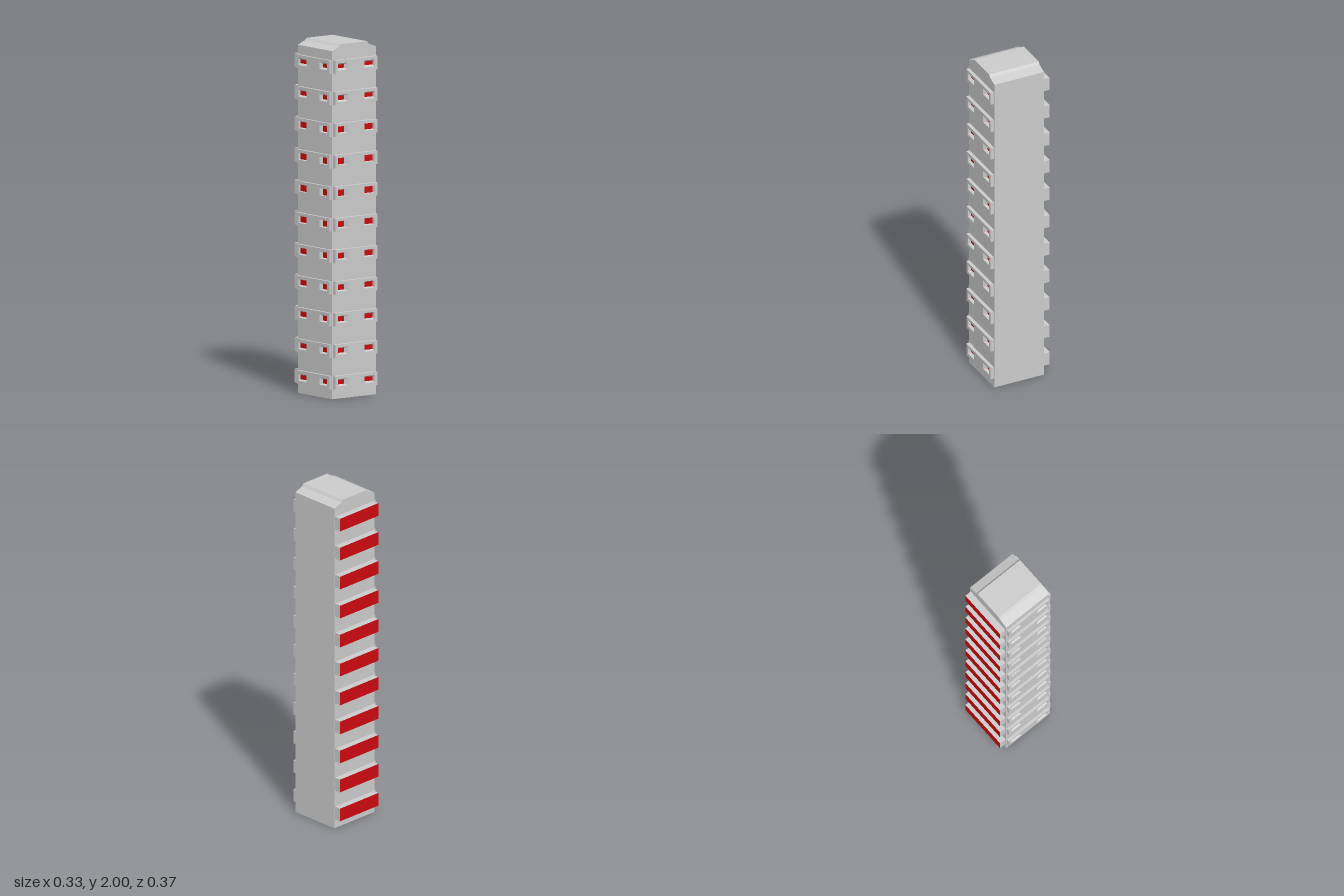
import * as THREE from 'three';

const grey = new THREE.MeshStandardMaterial({ color: 0xcccccc, flatShading: true });
const red = new THREE.MeshStandardMaterial({ color: 0xcc0a0e });

const BAR_W = 0.3, BAR_H = 0.075;
const HOLE = { inner: 0.058, floorInner: 0.072, outer: 0.13, h: 0.04 };
// height of each storey's window pane, bottom to top
const PANE_H = [0.025, 0.026, 0.028, 0.029, 0.031, 0.033, 0.038, 0.036, 0.033, 0.024, 0.021];

function rect(path, x0, y0, x1, y1) {
  path.moveTo(x0, y0);
  path.lineTo(x1, y0);
  path.lineTo(x1, y1);
  path.lineTo(x0, y1);
  path.closePath();
  return path;
}

function add(parent, name, geometry, material) {
  const mesh = new THREE.Mesh(geometry, material);
  mesh.name = name;
  parent.add(mesh);
  return mesh;
}

// Bar with two window openings that narrow towards the wall, facing +z
function windowBar(depth, paneH) {
  const bar = new THREE.Group();
  bar.name = 'windowBar';
  const shape = rect(new THREE.Shape(), -BAR_W / 2, -BAR_H / 2, BAR_W / 2, BAR_H / 2);
  const { inner, floorInner, outer, h } = HOLE;
  shape.holes.push(
    rect(new THREE.Path(), -outer, -h / 2, -inner, h / 2),
    rect(new THREE.Path(), inner, -h / 2, outer, h / 2),
  );
  const geo = new THREE.ExtrudeGeometry(shape, { depth, bevelEnabled: false });
  const p = geo.attributes.position;
  for (let i = 0; i < p.count; i++) {
    const x = p.getX(i);
    if (p.getZ(i) > depth / 2 || Math.abs(x) > outer + 0.005) continue;
    if (Math.abs(x) < inner + 0.005) p.setX(i, Math.sign(x) * floorInner);
    p.setY(i, Math.sign(p.getY(i)) * paneH / 2);
  }
  geo.computeVertexNormals();
  add(bar, 'windowFrame', geo, grey);

  // Red panes at the bottom of the openings
  for (const side of [-1, 1]) {
    const pane = add(bar, 'windowPane', new THREE.PlaneGeometry(outer - floorInner, paneH), red);
    pane.position.set(side * (outer + floorInner) / 2, 0, 0.001);
  }
  return bar;
}

export function createModel() {
  const tower = new THREE.Group();
  tower.name = 'tower';

  // Tower body with sloped roof edges, extruded front to back
  const profile = new THREE.Shape([
    [-0.15, 0], [0.163, 0], [0.163, 1.966], [0.11, 1.985], [0.098, 2],
    [-0.085, 2], [-0.1, 1.987], [-0.15, 1.966],
  ].map(([x, y]) => new THREE.Vector2(x, y)));
  const body = add(tower, 'towerBody',
    new THREE.ExtrudeGeometry(profile, { depth: 0.311, bevelEnabled: false }), grey);
  body.position.z = -0.148;

  PANE_H.forEach((paneH, i) => {
    const y = 0.093 + i * 0.1783;

    // Front windows
    const front = windowBar(0.02, paneH);
    front.position.set(0.007, y, 0.163);
    tower.add(front);

    // Side windows on the -x wall
    const side = windowBar(0.015, paneH);
    side.rotation.y = -Math.PI / 2;
    side.position.set(-0.15, y, 0.008);
    tower.add(side);

    // Back balcony with a red outer face (last box side is -z)
    const balcony = add(tower, 'backBalcony', new THREE.BoxGeometry(BAR_W, 0.078, 0.039),
      [grey, grey, grey, grey, grey, red]);
    balcony.position.set(0.007, y, -0.1675);
  });

  return tower;
}
